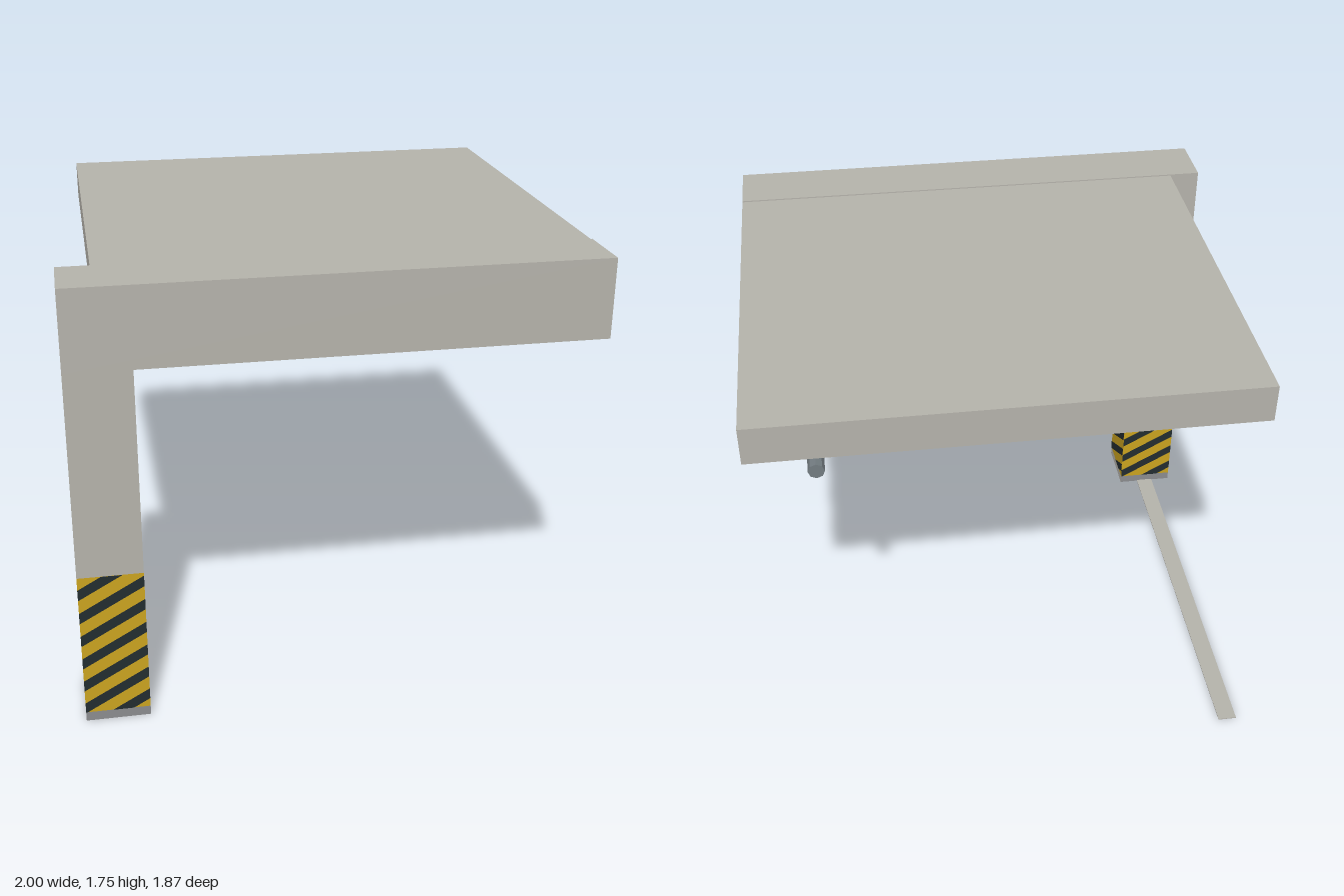
import * as THREE from 'three';

const mat = (name, color, extra = {}) => {
  const m = new THREE.MeshStandardMaterial({ color, ...extra });
  m.name = name;
  return m;
};

export function createModel() {
  const concrete = mat('concrete', 0xb4b2aa);
  const yellow = mat('warning yellow', 0xc9a21f);
  const black = mat('warning black', 0x222c2f);
  const grey = mat('base grey', 0x8a8b8d);
  const steel = mat('steel', 0x727b80, { flatShading: true });

  const model = new THREE.Group();
  model.name = 'canopy';

  const add = (name, geometry, material, parent = model) => {
    const mesh = new THREE.Mesh(geometry, material);
    mesh.name = name;
    parent.add(mesh);
    return mesh;
  };
  // Box given by its lower and upper corners
  const box = (name, material, [x0, y0, z0], [x1, y1, z1]) => {
    const g = new THREE.BoxGeometry(x1 - x0, y1 - y0, z1 - z0);
    g.translate((x0 + x1) / 2, (y0 + y1) / 2, (z0 + z1) / 2);
    return add(name, g, material);
  };

  // Column, stacked from base, warning section and shaft
  const W = 0.248, zBack = 0.687, zFront = 0.935;
  const y0 = 0.038, y1 = 0.63;
  box('columnBase', [concrete, concrete, concrete, grey, grey, grey],
    [-1, 0, zBack], [-1 + W, y0, zFront]);
  box('warningSection', yellow, [-1, y0, zBack], [-1 + W, y1, zFront]);
  box('columnShaft', concrete, [-1, y1, zBack], [-1 + W, 1.44, zFront]);

  // Front beam and roof slab
  box('frontBeam', concrete, [-1, 1.44, zBack], [1, 1.75, zFront]);
  box('roofSlab', concrete, [-0.875, 1.597, -0.935], [1, 1.745, zBack]);

  // Diagonal warning stripes on one face, clipped to the section
  const slope = 0.56, stripes = [];
  for (let k = -2; k < 7; k++) {
    const lo = 0.035 + k * 0.1, up = lo + 0.045;
    const xa = Math.max(0, (y0 - up) / slope);
    const xb = Math.min(W, (y1 - lo) / slope);
    if (xb - xa < 0.005) continue;
    const edge = (start, cut) => [xa, cut, xb]
      .filter((x, i) => i !== 1 || (x > xa + 1e-4 && x < xb - 1e-4))
      .map(x => new THREE.Vector2(x - W / 2,
        THREE.MathUtils.clamp(start + slope * x, y0, y1)));
    const points = [...edge(lo, (y0 - lo) / slope),
      ...edge(up, (y1 - up) / slope).reverse()];
    stripes.push(new THREE.Shape(points));
  }
  const stripeGeometry = new THREE.ShapeGeometry(stripes);
  stripeGeometry.translate(0, 0, W / 2 + 0.0015);
  const stripeGroup = new THREE.Group();
  stripeGroup.name = 'warningStripes';
  stripeGroup.position.set(-1 + W / 2, 0, (zBack + zFront) / 2);
  model.add(stripeGroup);
  for (let i = 0; i < 4; i++) {
    add('stripeFace', stripeGeometry, black, stripeGroup).rotation.y = i * Math.PI / 2;
  }

  // Painted line on the ground behind the column
  box('groundLine', concrete, [-0.913, 0, -0.935], [-0.837, 0.004, zBack]);

  // Pipe hung below the slab
  const pipe = new THREE.CylinderGeometry(0.03, 0.03, zBack + 0.935, 8);
  pipe.rotateX(Math.PI / 2);
  pipe.translate(0.75, 1.54, (zBack - 0.935) / 2);
  add('pipe', pipe, steel);
  for (const z of [0.375, -0.56]) {
    box('pipeHanger', steel, [0.732, 1.56, z - 0.007], [0.768, 1.597, z + 0.007]);
  }

  // Ceiling lamp with cut corners
  const a = 0.4, b = 0.041, c = 0.02;
  const outline = new THREE.Shape([
    [-a + c, -b], [a - c, -b], [a, -b + c], [a, b - c],
    [a - c, b], [-a + c, b], [-a, b - c], [-a, -b + c],
  ].map(p => new THREE.Vector2(...p)));
  const lamp = new THREE.ExtrudeGeometry(outline, { depth: 0.025, bevelEnabled: false });
  lamp.rotateX(-Math.PI / 2);
  lamp.translate(0.0625, 1.572, -0.123);
  add('ceilingLamp', lamp, concrete);

  return model;
}
